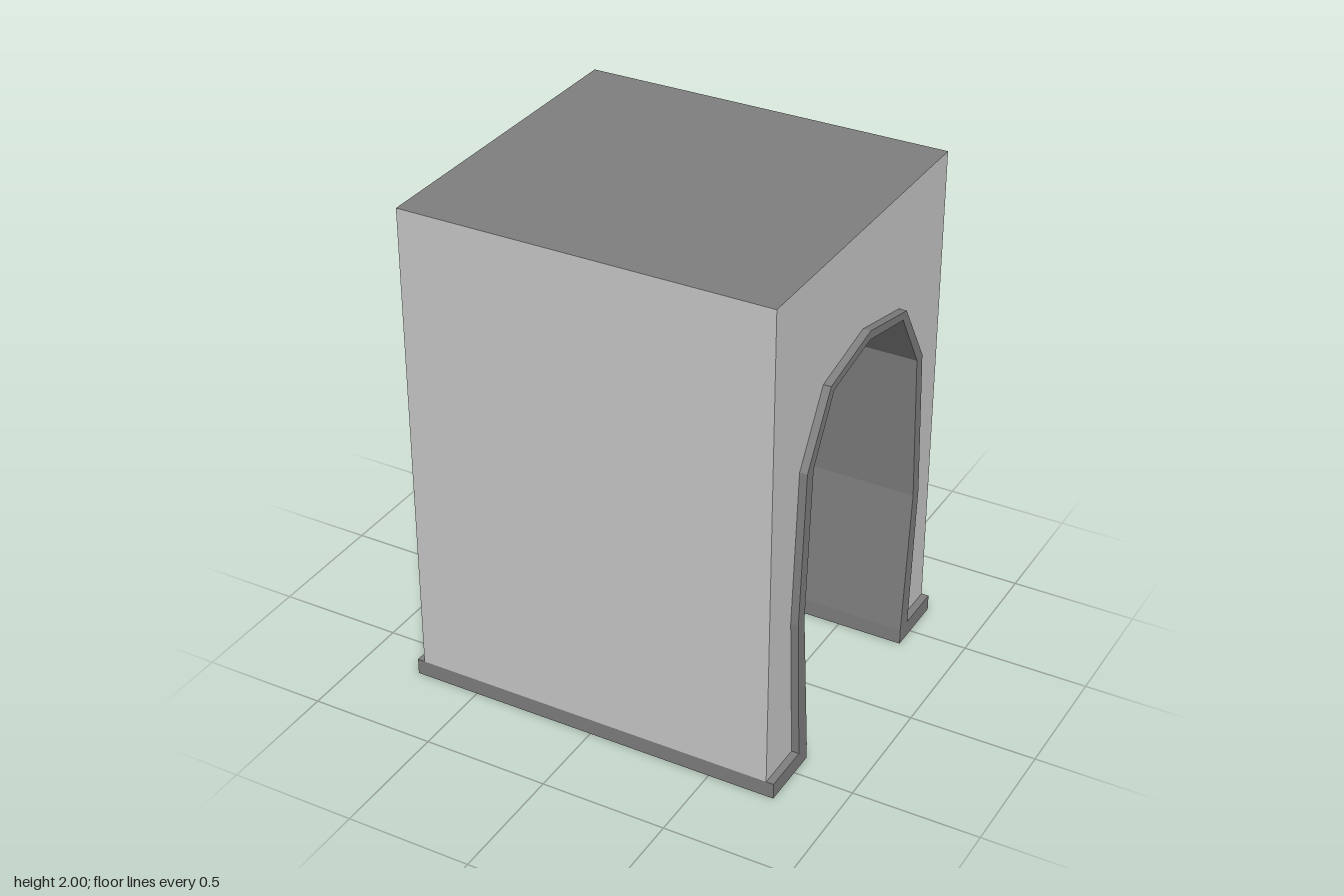
import * as THREE from 'three';

const HALF_W = 0.735;  // wall half width (x)
const TRIM_W = 0.765;  // arch and plinth half width (x)
const HALF_D = 0.667;  // half depth (z)
const PLINTH = 0.065;  // plinth height
const TOP = 2;

// Half profiles [z, y] of the arch, from foot to crown
const inner = [[0.403, 0], [0.403, PLINTH], [0.455, 0.66], [0.42, 1.267], [0.277, 1.507], [0, 1.565]];
const outer = [[0.467, PLINTH], [0.503, 0.66], [0.467, 1.27], [0.303, 1.533], [0, 1.6]];

// Closed shape from a half outline that starts and ends on the centre line
function mirroredShape(half) {
  const other = half.slice(1, -1).reverse().map(([z, y]) => [-z, y]);
  return new THREE.Shape([...half, ...other].map(([z, y]) => new THREE.Vector2(z, y)));
}

export function createModel() {
  const group = new THREE.Group();
  const light = new THREE.MeshStandardMaterial({ color: 0xcccccc, flatShading: true });
  const dark = new THREE.MeshStandardMaterial({ color: 0x808080, flatShading: true });

  const add = (name, geometry, material) => {
    const mesh = new THREE.Mesh(geometry, material);
    mesh.name = name;
    group.add(mesh);
    return mesh;
  };

  // Arch lining, its raised rim and the plinth feet in one extrusion along x
  const foot = [[HALF_D, 0], [HALF_D, PLINTH]];
  const rightSide = [...foot, ...outer];
  const leftSide = rightSide.slice(0, -1).reverse().map(([z, y]) => [-z, y]);
  const innerLeft = inner.map(([z, y]) => [-z, y]);
  const innerRight = inner.slice(0, -1).reverse();
  const outline = [...rightSide, ...leftSide, ...innerLeft, ...innerRight];
  const arch = new THREE.ExtrudeGeometry(
    new THREE.Shape(outline.map(([z, y]) => new THREE.Vector2(z, y))),
    { depth: 2 * TRIM_W, bevelEnabled: false },
  );
  arch.translate(0, 0, -TRIM_W).rotateY(Math.PI / 2);
  add('archAndPlinth', arch, dark);

  // Side walls with the arch opening cut out
  const facade = mirroredShape([
    [0, TOP], [HALF_D, TOP], [HALF_D, PLINTH], ...outer,
  ]);
  for (const side of [1, -1]) {
    const wall = add(side > 0 ? 'leftWall' : 'rightWall', new THREE.ShapeGeometry(facade), light);
    wall.rotation.y = side * Math.PI / 2;
    wall.position.x = side * HALF_W;
  }

  // Plain front and back walls
  const wallH = TOP - PLINTH;
  for (const side of [1, -1]) {
    const wall = add(side > 0 ? 'frontWall' : 'backWall', new THREE.PlaneGeometry(2 * HALF_W, wallH), light);
    wall.rotation.y = side > 0 ? 0 : Math.PI;
    wall.position.set(0, PLINTH + wallH / 2, side * HALF_D);
  }

  // Flat roof
  const roof = add('roof', new THREE.PlaneGeometry(2 * HALF_W, 2 * HALF_D), dark);
  roof.rotation.x = -Math.PI / 2;
  roof.position.y = TOP;

  return group;
}
